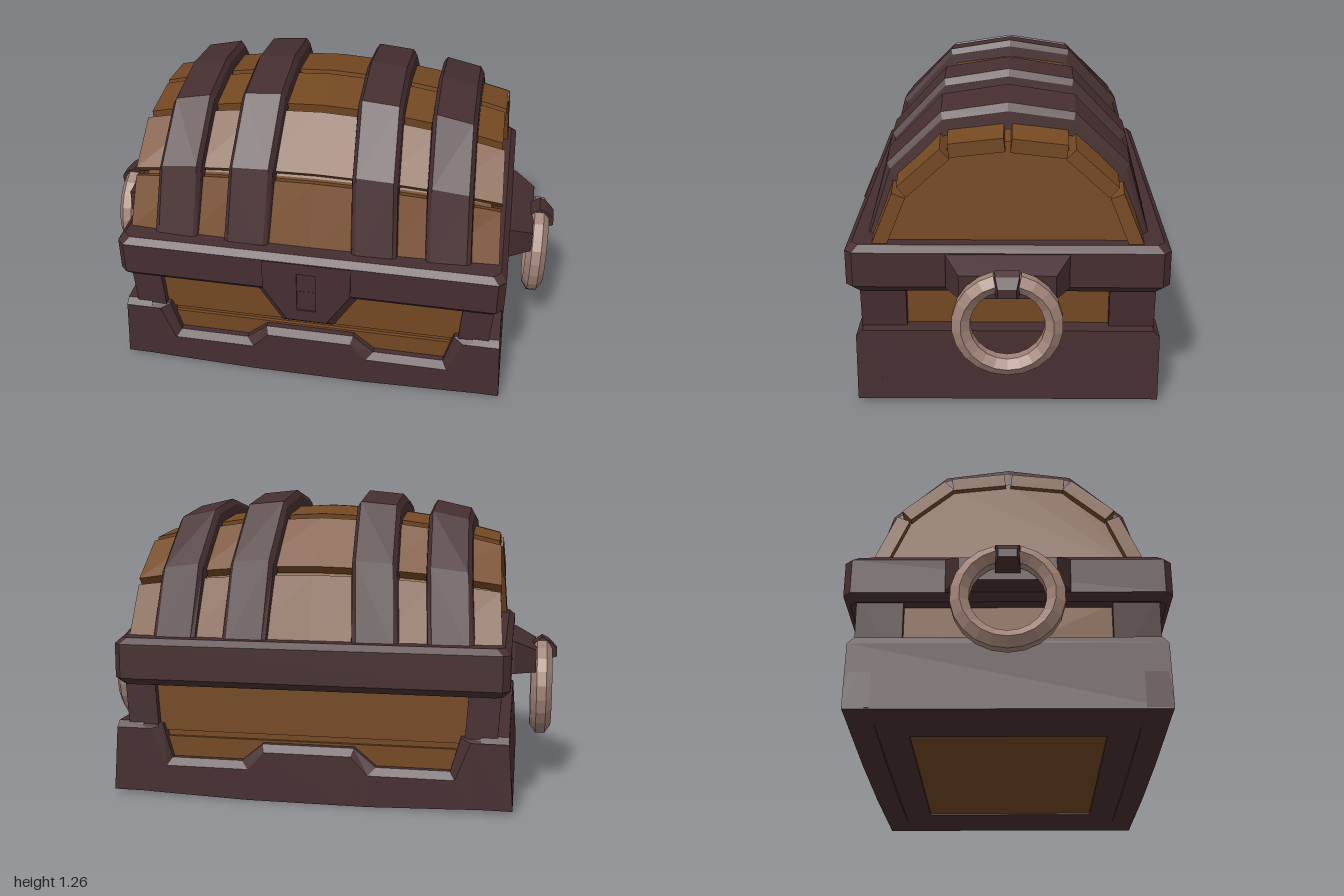
import * as THREE from 'three';

const trimMat = new THREE.MeshStandardMaterial({ color: 0x462e30 });
trimMat.name = 'dark trim';
const woodMat = new THREE.MeshStandardMaterial({ color: 0x744822 });
woodMat.name = 'brown wood';
const ringMat = new THREE.MeshStandardMaterial({ color: 0xa08276 });
ringMat.name = 'pale metal';

// Faceted solid through convex rings of [x, y, z] points, capped at both ends
function loft(rings) {
  const out = [];
  const tri = (a, b, c) => out.push([a, b, c]);
  const n = rings[0].length;
  for (let i = 0; i < rings.length - 1; i++) {
    const a = rings[i], b = rings[i + 1];
    for (let j = 0; j < n; j++) {
      const k = (j + 1) % n;
      tri(a[j], a[k], b[k]);
      tri(a[j], b[k], b[j]);
    }
  }
  const first = rings[0], last = rings[rings.length - 1];
  for (let j = 1; j < n - 1; j++) {
    tri(first[0], first[j + 1], first[j]);
    tri(last[0], last[j], last[j + 1]);
  }
  // turn every face outward
  const o = first[0];
  const rel = (p) => new THREE.Vector3(p[0] - o[0], p[1] - o[1], p[2] - o[2]);
  let volume = 0;
  for (const [a, b, c] of out) volume += rel(a).dot(rel(b).cross(rel(c)));
  const pos = out.flatMap(([a, b, c]) => (volume < 0 ? [a, c, b] : [a, b, c])).flat();
  const g = new THREE.BufferGeometry();
  g.setAttribute('position', new THREE.Float32BufferAttribute(pos, 3));
  g.computeVertexNormals();
  return g;
}

// Half profile of the barrel lid [z, height over rim], and how far bands stand off it
const LID_Y = 0.665;
const half = [[0.555, -0.02], [0.455, 0.28], [0.255, 0.5], [0, 0.535]];
const halfOff = [[0.02, 0], [0.03, 0.045], [0.01, 0.06], [0, 0.068]];
const mirror = (list) => [...list, ...list.slice(0, 3).reverse().map(([z, y]) => [-z, y])];
const profile = mirror(half), offsets = mirror(halfOff);

// Point on the bulging lid surface
function lidPoint(x, k, off = 0, size = 1) {
  const t = x / 0.75;
  const [z, h] = profile[k];
  const splay = Math.sign(x) * 0.03 * (1 - Math.max(h, 0) / 0.535) * Math.min(1, Math.abs(t) * 5);
  return [
    x + splay,
    LID_Y + h * (1 - 0.22 * t * t) * size + offsets[k][1] * off,
    z * (1 - 0.04 * t * t) * size + offsets[k][0] * off,
  ];
}

export function createModel() {
  const model = new THREE.Group();
  const add = (name, geometry, material, parent = model) => {
    const m = new THREE.Mesh(geometry, material);
    m.name = name;
    parent.add(m);
    return m;
  };
  const box = (name, mat, x0, x1, y0, y1, z0, z1) =>
    add(name, new THREE.BoxGeometry(x1 - x0, y1 - y0, z1 - z0), mat)
      .position.set((x0 + x1) / 2, (y0 + y1) / 2, (z0 + z1) / 2);

  // Wooden body with a groove between its planks
  box('body', woodMat, -0.735, 0.735, 0.03, 0.55, -0.535, 0.535);
  for (const s of [-1, 1]) {
    const z0 = s > 0 ? 0.5 : -0.55, z1 = s > 0 ? 0.55 : -0.5;
    box('upperPlank', woodMat, -0.7, 0.7, 0.27, 0.5, z0, z1);
    box('lowerPlank', woodMat, -0.7, 0.7, 0.05, 0.245, z0, z1);
  }

  // Corner posts, leaning out towards the top
  for (const sx of [-1, 1]) for (const sz of [-1, 1]) {
    const ring = (y, xi, xo) => [[xi, 0.4], [xo, 0.4], [xo, 0.58], [xi, 0.58]]
      .map(([x, z]) => [sx * x, y, sz * z]);
    add('cornerPost', loft([ring(0.2, 0.63, 0.758), ring(0.5, 0.65, 0.778)]), trimMat);
  }

  // Base trim: front and back strips with a raised middle step
  // each station: front edge x, y, chamfer edge x, y
  const right = [
    [0.18, 0.205, 0.19, 0.235], [0.25, 0.13, 0.28, 0.16], [0.6, 0.13, 0.58, 0.16],
    [0.66, 0.285, 0.62, 0.3], [0.81, 0.285, 0.81, 0.31],
  ];
  const stations = [...right.slice().reverse().map(([a, b, c, d]) => [-a, b, -c, d]), ...right];
  for (const s of [-1, 1]) {
    add('baseTrim', loft(stations.map(([ax, ay, bx, by]) => {
      const corner = Math.abs(ax) > 0.8;
      const x = corner ? Math.sign(ax) * 0.83 : ax;
      const y = 0.02 * Math.max(0, (Math.abs(x) - 0.3) / 0.53);
      return [[x, y, s * 0.6], [ax, ay, s * 0.6], [bx, by, s * 0.575], [bx, by, s * 0.5], [x, y, s * 0.5]];
    })), trimMat);
    // side plates
    const plate = (y, xo, z) => [[0.7, z], [xo, z], [xo, -z], [0.7, -z]].map(([x, zz]) => [s * x, y, zz]);
    add('sidePlate', loft([plate(0.015, 0.83, 0.599), plate(0.285, 0.812, 0.599), plate(0.31, 0.81, 0.575)]), trimMat);
  }

  // Underside frame around a wooden panel
  const frame = new THREE.Shape([[-0.8, -0.58], [0.8, -0.58], [0.8, 0.58], [-0.8, 0.58]].map((p) => new THREE.Vector2(...p)));
  frame.holes.push(new THREE.Path([[-0.54, -0.38], [-0.54, 0.38], [0.54, 0.38], [0.54, -0.38]].map((p) => new THREE.Vector2(...p))));
  const frameGeo = new THREE.ExtrudeGeometry(frame, { depth: 0.04, bevelEnabled: false });
  frameGeo.rotateX(-Math.PI / 2).translate(0, 0.015, 0);
  add('bottomFrame', frameGeo, trimMat);
  box('bottomPanel', woodMat, -0.55, 0.55, 0.022, 0.05, -0.39, 0.39);

  // Chamfered rim around the lid opening
  const rimRing = (y, inset) => {
    const x = 0.81 - inset, z = 0.632 - inset, c = 0.03;
    return [[x, z - c], [x - c, z], [c - x, z], [-x, z - c], [-x, c - z], [c - x, -z], [x - c, -z], [x, c - z]]
      .map(([px, pz]) => [px, y, pz]);
  };
  add('rim', loft([rimRing(0.472, 0.025), rimRing(0.5, 0), rimRing(0.642, 0), rimRing(0.667, 0.025)]), trimMat);

  // Latch with a sunken keyhole
  const latchRing = (z, pts) => pts.map(([x, y]) => [x, y, z]);
  add('latch', loft([
    latchRing(0.5, [[-0.23, 0.5], [-0.11, 0.31], [0.11, 0.31], [0.23, 0.5]]),
    latchRing(0.6, [[-0.23, 0.5], [-0.11, 0.31], [0.11, 0.31], [0.23, 0.5]]),
    latchRing(0.63, [[-0.185, 0.5], [-0.085, 0.345], [0.085, 0.345], [0.185, 0.5]]),
  ]), trimMat);
  const face = new THREE.Shape([[-0.185, 0.5], [-0.085, 0.345], [0.085, 0.345], [0.185, 0.5], [0.185, 0.642], [-0.185, 0.642]]
    .map((p) => new THREE.Vector2(...p)));
  face.holes.push(new THREE.Path([[-0.04, 0.4], [-0.04, 0.59], [0.04, 0.59], [0.04, 0.4]].map((p) => new THREE.Vector2(...p))));
  const faceGeo = new THREE.ExtrudeGeometry(face, { depth: 0.008, bevelEnabled: false });
  add('keyholePlate', faceGeo.translate(0, 0, 0.629), trimMat);

  // Lid: inner shell with end panels, then separate planks with gaps
  const lid = new THREE.Group();
  lid.name = 'lid';
  model.add(lid);
  const xs = (end) => [-1, -0.65, -0.33, 0, 0.33, 0.65, 1].map((f) => f * end);
  add('lidShell', loft(xs(0.705).map((x) => profile.map((_, k) => lidPoint(x, k, 0, 0.915)))), woodMat, lid);
  for (let k = 0; k < 6; k++) {
    const end = [0.745, 0.75, 0.74, 0.745, 0.75, 0.745][k];
    add('lidPlank', loft(xs(end).map((x) => {
      const p = new THREE.Vector3(...lidPoint(x, k)), q = new THREE.Vector3(...lidPoint(x, k + 1));
      const n = new THREE.Vector3(0, q.z - p.z, p.y - q.y).normalize().multiplyScalar(0.055);
      const a = p.clone().lerp(q, 0.065), b = p.clone().lerp(q, 0.935);
      return [a, b, b.clone().add(n), a.clone().add(n)].map((v) => v.toArray());
    })), woodMat, lid);
  }

  // Four chamfered bands over the lid
  for (const s of [-1, 1]) for (const [x0, x1] of [[0.143, 0.338], [0.446, 0.638]]) {
    add('lidBand', loft(profile.map((_, k) => [
      lidPoint(s * x0, k, -0.4), lidPoint(s * (x0 + 0.006), k, 0.6), lidPoint(s * (x0 + 0.022), k, 1),
      lidPoint(s * (x1 - 0.022), k, 1), lidPoint(s * (x1 - 0.006), k, 0.6), lidPoint(s * x1, k, -0.4),
    ])), trimMat, lid);
  }

  // Handles: mount, peg and open ring on each side
  for (const s of [-1, 1]) {
    const handle = new THREE.Group();
    handle.name = s > 0 ? 'leftHandle' : 'rightHandle';
    model.add(handle);
    const rect = (x, y0, y1, z) => [[y0, z], [y1, z], [y1, -z], [y0, -z]].map(([y, zz]) => [s * x, y, zz]);
    add('handleMount', loft([rect(0.78, 0.5, 0.642, 0.24), rect(0.82, 0.5, 0.638, 0.24), rect(0.91, 0.5, 0.595, 0.185)]), trimMat, handle);
    add('handlePeg', loft([rect(0.89, 0.52, 0.595, 0.048), rect(0.935, 0.535, 0.63, 0.048), rect(0.965, 0.535, 0.615, 0.045), rect(1, 0.545, 0.58, 0.035)]), trimMat, handle);
    const section = [[0.045, 0], [0.02, 0.036], [-0.02, 0.036], [-0.045, 0], [-0.02, -0.034], [0.02, -0.034]];
    const rings = [];
    for (let i = 0; i <= 20; i++) {
      const a = 0.25 + (i / 20) * (Math.PI * 2 - 0.5);
      rings.push(section.map(([dx, dr]) => [s * (0.935 + dx), 0.41 + (0.177 + dr) * Math.cos(a), (0.177 + dr) * Math.sin(a)]));
    }
    add('handleRing', loft(rings), ringMat, handle);
  }
  return model;
}
